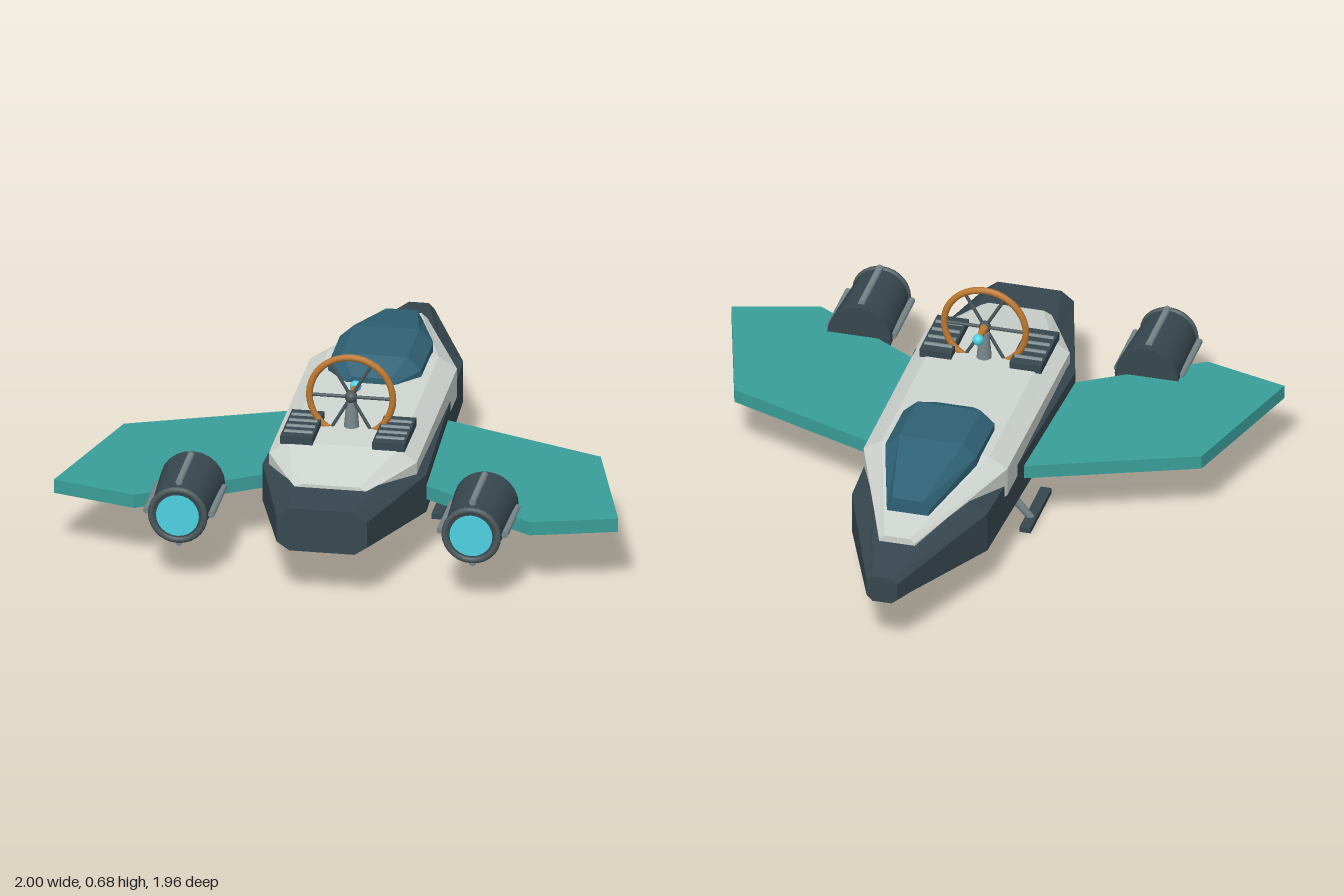
import * as THREE from 'three';

const mat = (name, color, opts = {}) => {
  const m = new THREE.MeshStandardMaterial({ color, ...opts });
  m.name = name;
  return m;
};

// Mirrors a half profile (bottom to top, x > 0) into a closed ring at depth z
const ring = (z, half) => [
  ...half.map(([x, y]) => [x, y, z]),
  ...half.slice().reverse().map(([x, y]) => [-x, y, z]),
];

// Faceted closed body through cross-sections ordered by rising z
function loft(rings) {
  const pos = [];
  const tri = (...pts) => pts.forEach((p) => pos.push(...p));
  const n = rings[0].length;
  for (let i = 0; i < rings.length - 1; i++) {
    for (let k = 0; k < n; k++) {
      const j = (k + 1) % n;
      const [a, b, c, d] = [rings[i][k], rings[i][j], rings[i + 1][j], rings[i + 1][k]];
      tri(a, b, c);
      tri(a, c, d);
    }
  }
  const first = rings[0], last = rings[rings.length - 1];
  for (let k = 1; k < n - 1; k++) {
    tri(first[0], first[k + 1], first[k]);
    tri(last[0], last[k], last[k + 1]);
  }
  const g = new THREE.BufferGeometry();
  g.setAttribute('position', new THREE.Float32BufferAttribute(pos, 3));
  g.computeVertexNormals();
  return g;
}

export function createModel() {
  const model = new THREE.Group();
  model.name = 'skiff';
  const dark = mat('dark hull', 0x37474f);
  const white = mat('pale deck', 0xcfd5d0);
  const teal = mat('teal wing', 0x3a9e9a);
  const glass = mat('canopy blue', 0x2f6275);
  const metal = mat('grey metal', 0x78868a);
  const trim = mat('dark trim', 0x4a575b);
  const wood = mat('wheel wood', 0xbd7830);
  const glow = mat('cyan glow', 0x4dd0e1);

  const add = (name, geometry, material, x = 0, y = 0, z = 0, parent = model) => {
    const m = new THREE.Mesh(geometry, material);
    m.name = name;
    m.position.set(x, y, z);
    parent.add(m);
    return m;
  };
  // Round bar between two points
  const bar = (name, from, to, r0, r1, material, parent = model) => {
    const a = new THREE.Vector3(...from), b = new THREE.Vector3(...to);
    const dir = b.clone().sub(a);
    const m = add(name, new THREE.CylinderGeometry(r1, r0, dir.length(), 12), material, 0, 0, 0, parent);
    m.position.copy(a).add(b).multiplyScalar(0.5);
    m.quaternion.setFromUnitVectors(new THREE.Vector3(0, 1, 0), dir.normalize());
    return m;
  };

  // Hull: [z, half width, bottom, lower side, upper side, top, bottom half width, top half width]
  add('hull', loft([
    [-0.98, 0.055, 0.205, 0.225, 0.285, 0.305, 0.035, 0.035],
    [-0.48, 0.245, 0.115, 0.16, 0.31, 0.36, 0.17, 0.165],
    [0.52, 0.29, 0.115, 0.165, 0.305, 0.36, 0.2, 0.205],
    [0.975, 0.16, 0.18, 0.21, 0.305, 0.34, 0.115, 0.115],
  ].map(([z, w, y0, y1, y2, y3, wb, wt]) =>
    ring(z, [[wb, y0], [w, y1], [w, y2], [wt, y3]]))), dark);

  // Deck: [z, half width, bottom, shoulder, top, top half width]
  add('deck', loft([
    [-0.78, 0.065, 0.26, 0.335, 0.352, 0.045],
    [-0.27, 0.26, 0.265, 0.372, 0.412, 0.195],
    [0.55, 0.262, 0.265, 0.362, 0.407, 0.195],
    [0.8, 0.13, 0.27, 0.346, 0.36, 0.1],
  ].map(([z, w, y0, y1, y2, wt]) => ring(z, [[w, y0], [w, y1], [wt, y2]]))), white);

  // Canopy, same layout as the deck
  add('canopy', loft([
    [-0.64, 0.075, 0.35, 0.385, 0.422, 0.055],
    [-0.33, 0.165, 0.39, 0.44, 0.485, 0.115],
    [-0.09, 0.165, 0.39, 0.435, 0.48, 0.115],
    [0, 0.085, 0.39, 0.412, 0.432, 0.065],
  ].map(([z, w, y0, y1, y2, wt]) => ring(z, [[w, y0], [w, y1], [wt, y2]]))), glass);

  for (const s of [1, -1]) {
    const side = s > 0 ? 'left' : 'right';

    // Wing slab and the spar below it
    const outline = [[0.2, -0.09], [0.28, -0.06], [0.845, 0.16], [1, 0.69], [0.7, 0.775], [0.29, 0.52], [0.2, 0.465]];
    const wing = new THREE.ExtrudeGeometry(
      new THREE.Shape(outline.map(([x, z]) => new THREE.Vector2(s * x, z))),
      { depth: 0.05, bevelEnabled: false });
    wing.rotateX(Math.PI / 2);
    add(side + 'Wing', wing, teal, 0, 0.263, 0);
    bar(side + 'WingSpar', [s * 0.25, 0.195, 0.3], [s * 0.75, 0.195, 0.49], 0.02, 0.026, metal);

    // Engine pod with end ring, glowing disc and four side rods
    const pod = new THREE.Group();
    pod.name = side + 'Engine';
    pod.position.set(s * 0.52, 0.262, 0);
    model.add(pod);
    bar('engineShell', [0, 0, 0.62], [0, 0, 0.925], 0.115, 0.098, dark, pod)
      .geometry = new THREE.CylinderGeometry(0.098, 0.115, 0.305, 24);
    add('engineRing', new THREE.TorusGeometry(0.094, 0.012, 8, 28), trim, 0, 0, 0.922, pod);
    add('engineGlow', new THREE.CylinderGeometry(0.076, 0.076, 0.008, 24).rotateX(Math.PI / 2), glow, 0, 0, 0.926, pod);
    for (let i = 0; i < 4; i++) {
      const a = i * Math.PI / 2, x = Math.cos(a) * 0.115, y = Math.sin(a) * 0.115;
      bar('engineRod', [x, y, 0.65], [x, y, 0.9], 0.012, 0.012, metal, pod);
    }

    // Landing skid
    bar(side + 'SkidLeg', [s * 0.19, 0.135, -0.03], [s * 0.272, 0.015, 0], 0.016, 0.013, metal);
    add(side + 'SkidFoot', new THREE.BoxGeometry(0.04, 0.02, 0.28), dark, s * 0.272, 0.01, 0.06);

    // Control console with grey rollers
    add(side + 'Console', new THREE.BoxGeometry(0.115, 0.03, 0.24), dark, s * 0.163, 0.418, 0.442);
    for (let i = 0; i < 4; i++) {
      const z = 0.367 + i * 0.05;
      bar('consoleRoller', [s * 0.163 - 0.05, 0.431, z], [s * 0.163 + 0.05, 0.431, z], 0.009, 0.009, metal);
    }
  }

  // Steering wheel on its column
  const helm = new THREE.Group();
  helm.name = 'helm';
  helm.position.set(0, 0.523, 0.385);
  model.add(helm);
  add('wheelRim', new THREE.TorusGeometry(0.148, 0.012, 10, 40), wood, 0, 0, 0, helm);
  for (let i = 0; i < 6; i++) {
    const a = i * Math.PI / 3;
    bar('wheelSpoke', [0, 0, 0], [Math.cos(a) * 0.148, Math.sin(a) * 0.148, 0], 0.006, 0.006, trim, helm);
  }
  add('wheelHub', new THREE.SphereGeometry(0.022, 16, 10), trim, 0, 0, 0, helm);
  bar('wheelColumn', [0, -0.125, -0.01], [0, -0.015, -0.01], 0.028, 0.018, metal, helm);
  bar('leverShaft', [0, 0.002, -0.01], [0, 0.002, -0.085], 0.016, 0.008, wood, helm);
  add('leverKnob', new THREE.SphereGeometry(0.02, 16, 12), glow, 0, 0.002, -0.092, helm);

  return model;
}
